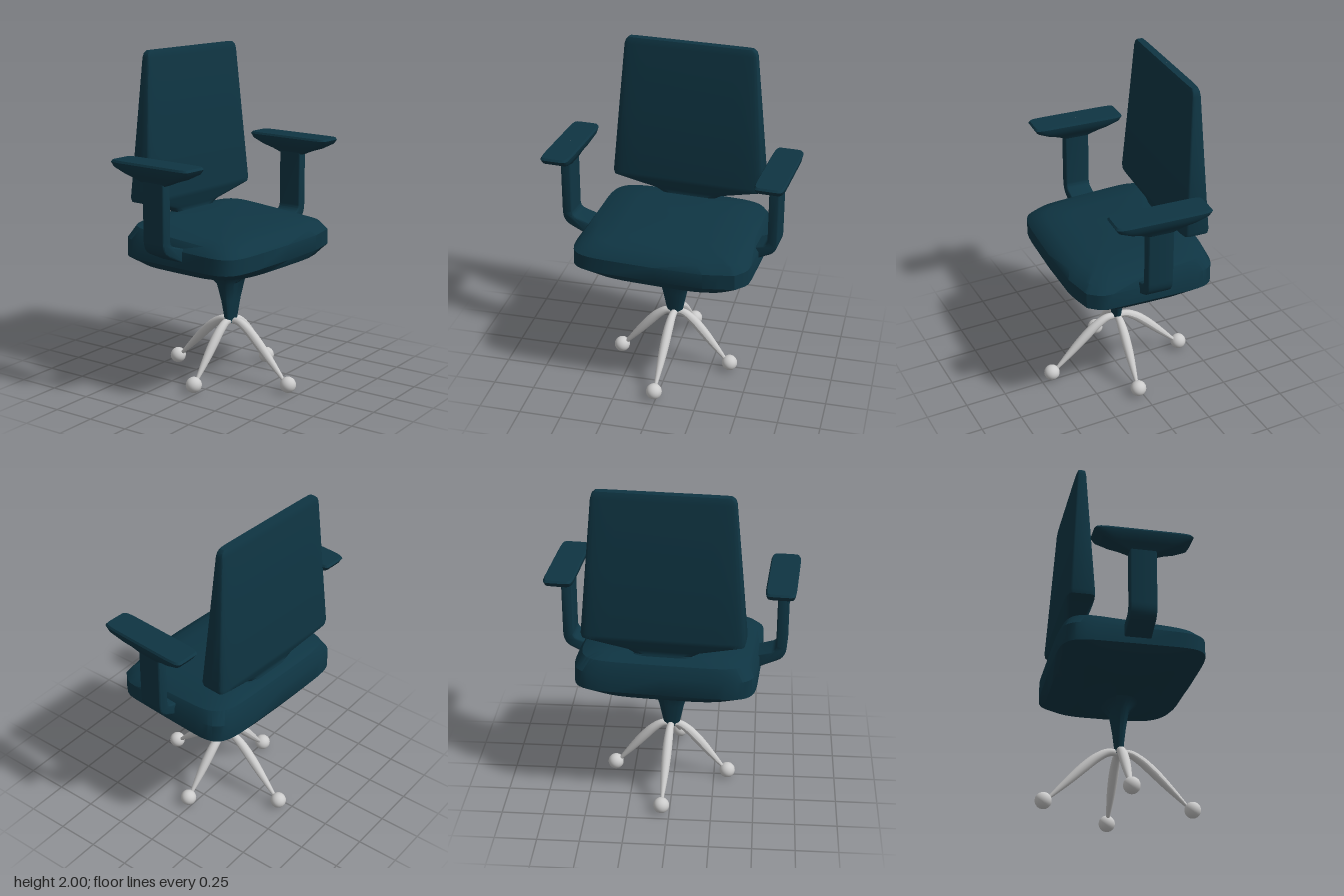
import * as THREE from 'three';
import { toCreasedNormals } from 'three/addons/utils/BufferGeometryUtils.js';

const teal = new THREE.MeshStandardMaterial({ color: 0x0f3543 });
const grey = new THREE.MeshStandardMaterial({ color: 0xcccccc });

// Loft of horizontal superellipse rings [y, centreX, centreZ, halfX, halfZ, exponent]
function loft(rings, { shape, segs = 48, crease = 0.6 } = {}) {
  const first = [...rings[0]], last = [...rings[rings.length - 1]];
  first[3] = first[4] = last[3] = last[4] = 0.0005; // closes both ends
  const all = [first, ...rings, last];
  const pos = [], idx = [];
  all.forEach(([y, cx, cz, hx, hz, n], i) => {
    for (let j = 0; j < segs; j++) {
      const a = (j / segs) * Math.PI * 2, c = Math.cos(a), s = Math.sin(a);
      const p = new THREE.Vector2(
        Math.sign(c) * Math.abs(c) ** (2 / n),
        Math.sign(s) * Math.abs(s) ** (2 / n));
      if (shape) shape(p);
      pos.push(cx + p.x * hx, y, cz + p.y * hz);
      if (i < all.length - 1) {
        const k = (j + 1) % segs, b = i * segs, t = b + segs;
        idx.push(b + j, t + j, b + k, b + k, t + j, t + k);
      }
    }
  });
  const g = new THREE.BufferGeometry();
  g.setAttribute('position', new THREE.Float32BufferAttribute(pos, 3));
  g.setIndex(idx);
  return { geometry: g, finish: () => toCreasedNormals(g, crease) };
}

function add(parent, name, geometry, material) {
  const m = new THREE.Mesh(geometry, material);
  m.name = name;
  parent.add(m);
  return m;
}

// Seat cushion flowing down into the flattened stem
function seatGeometry() {
  const z = -0.015;
  const { geometry, finish } = loft([
    [0.355, 0, z, 0.02, 0.045, 2.5],
    [0.5, 0, z, 0.036, 0.075, 2.5],
    [0.61, 0, z, 0.053, 0.108, 2.5],
    [0.66, 0, z, 0.1, 0.15, 2.5],
    [0.7, 0, z, 0.23, 0.31, 2.7],
    [0.765, 0, z, 0.395, 0.49, 4],
    [0.81, 0, z, 0.425, 0.535, 7],
    [0.91, 0, z, 0.425, 0.532, 7],
    [0.965, 0, z, 0.395, 0.495, 6],
    [0.992, 0, z, 0.34, 0.42, 6],
    [1.01, 0, z, 0.25, 0.29, 5],
  ], {
    // one front corner is cut back more than the others
    shape: (p) => {
      for (const [nx, nz, d] of [[0.35, -0.1, 0.396], [0.14, -0.22, 0.317]]) {
        const dot = p.x * nx + p.y * nz;
        if (dot > d) p.multiplyScalar(d / dot);
      }
    },
  });
  // the top slopes down toward the front edge
  const a = geometry.attributes.position;
  for (let i = 0; i < a.count; i++) {
    const w = THREE.MathUtils.clamp((a.getY(i) - 0.88) / 0.1, 0, 1);
    a.setY(i, a.getY(i) - w * 0.075 * a.getX(i));
  }
  return finish();
}

// Backrest: wide above a narrow neck, thinning toward the top
function backGeometry() {
  const x = -0.305, z = -0.015;
  return loft([
    [0.99, x, z, 0.05, 0.2, 5],
    [1.025, x, z, 0.035, 0.17, 5],
    [1.05, x, z, 0.038, 0.21, 6],
    [1.125, x, z, 0.083, 0.465, 9],
    [1.15, x, z, 0.085, 0.472, 9],
    [1.55, x, z, 0.058, 0.437, 9],
    [1.96, x, z, 0.031, 0.4, 9],
    [1.985, x, z, 0.027, 0.392, 9],
    [2.0, x, z, 0.022, 0.375, 9],
  ]).finish();
}

function padGeometry(z) {
  return loft([
    [1.305, 0, z, 0.078, 0.032, 7],
    [1.33, 0, z, 0.14, 0.045, 7],
    [1.35, 0, z, 0.2, 0.062, 7],
    [1.385, 0, z, 0.268, 0.083, 8],
    [1.412, 0, z, 0.285, 0.087, 9],
    [1.424, 0, z, 0.276, 0.08, 9],
  ]).finish();
}

// Arm post: flat bar rising from the seat side and bending upright
function postGeometry(side, shift) {
  const s = new THREE.Shape();
  const z = (v) => side * v + shift;
  s.moveTo(z(0.655), 1.34);
  s.lineTo(z(0.655), 0.99);
  s.quadraticCurveTo(z(0.655), 0.925, z(0.61), 0.905);
  s.lineTo(z(0.5), 0.85);
  s.lineTo(z(0.5), 0.915);
  s.lineTo(z(0.58), 0.94);
  s.quadraticCurveTo(z(0.613), 0.955, z(0.613), 0.99);
  s.lineTo(z(0.613), 1.34);
  s.closePath();
  const bevel = 0.01, depth = 0.135;
  const g = new THREE.ExtrudeGeometry(s, {
    depth, curveSegments: 8, bevelSize: bevel, bevelThickness: bevel, bevelSegments: 3,
  });
  g.translate(0, 0, -depth / 2).rotateY(-Math.PI / 2);
  return toCreasedNormals(g, 0.8);
}

// Curved leg, thickest in the middle and pointed at the caster
function legGeometry(reach) {
  const k = reach / 0.43;
  const path = [[0, 0.362], [0.06, 0.363], [0.13, 0.325], [0.2, 0.265], [0.3, 0.167], [0.4, 0.068]];
  const curve = new THREE.CatmullRomCurve3(path.map(([x, y]) => new THREE.Vector3(x * k, y, 0)));
  const rings = 28, sides = 14;
  const g = new THREE.TubeGeometry(curve, rings, 1, sides);
  const a = g.attributes.position, v = new THREE.Vector3();
  for (let i = 0; i <= rings; i++) {
    const t = i / rings, c = curve.getPointAt(t);
    const r = 0.009 + 0.02 * Math.sin(Math.PI * (0.15 + 0.85 * t));
    for (let j = 0; j <= sides; j++) {
      const n = i * (sides + 1) + j;
      v.fromBufferAttribute(a, n).sub(c).multiplyScalar(r).add(c);
      a.setXYZ(n, v.x, v.y, v.z);
    }
  }
  g.computeVertexNormals();
  return g;
}

export function createModel() {
  const model = new THREE.Group();
  model.name = 'officeChair';
  const chair = new THREE.Group();
  chair.name = 'chair';
  chair.rotation.y = -0.07; // stands slightly turned, seat facing +x
  model.add(chair);

  add(chair, 'seatAndStem', seatGeometry(), teal);
  add(chair, 'backrest', backGeometry(), teal);

  // Armrests on both sides
  for (const side of [1, -1]) {
    const arm = new THREE.Group();
    arm.name = side > 0 ? 'rightArmrest' : 'leftArmrest';
    add(arm, 'armPad', padGeometry(side * 0.634), teal);
    add(arm, 'armPost', postGeometry(side, 0.007), teal);
    chair.add(arm);
  }

  // Four legs with ball casters
  for (let i = 0; i < 4; i++) {
    const reach = i % 2 ? 0.352 : 0.43;
    const leg = new THREE.Group();
    leg.name = `leg${i + 1}`;
    leg.position.z = -0.018;
    leg.rotation.y = (i * Math.PI) / 2;
    add(leg, 'legBar', legGeometry(reach), grey);
    add(leg, 'ballCaster', new THREE.SphereGeometry(0.048, 24, 16), grey).position.set(reach, 0.05, 0);
    chair.add(leg);
  }
  return model;
}
